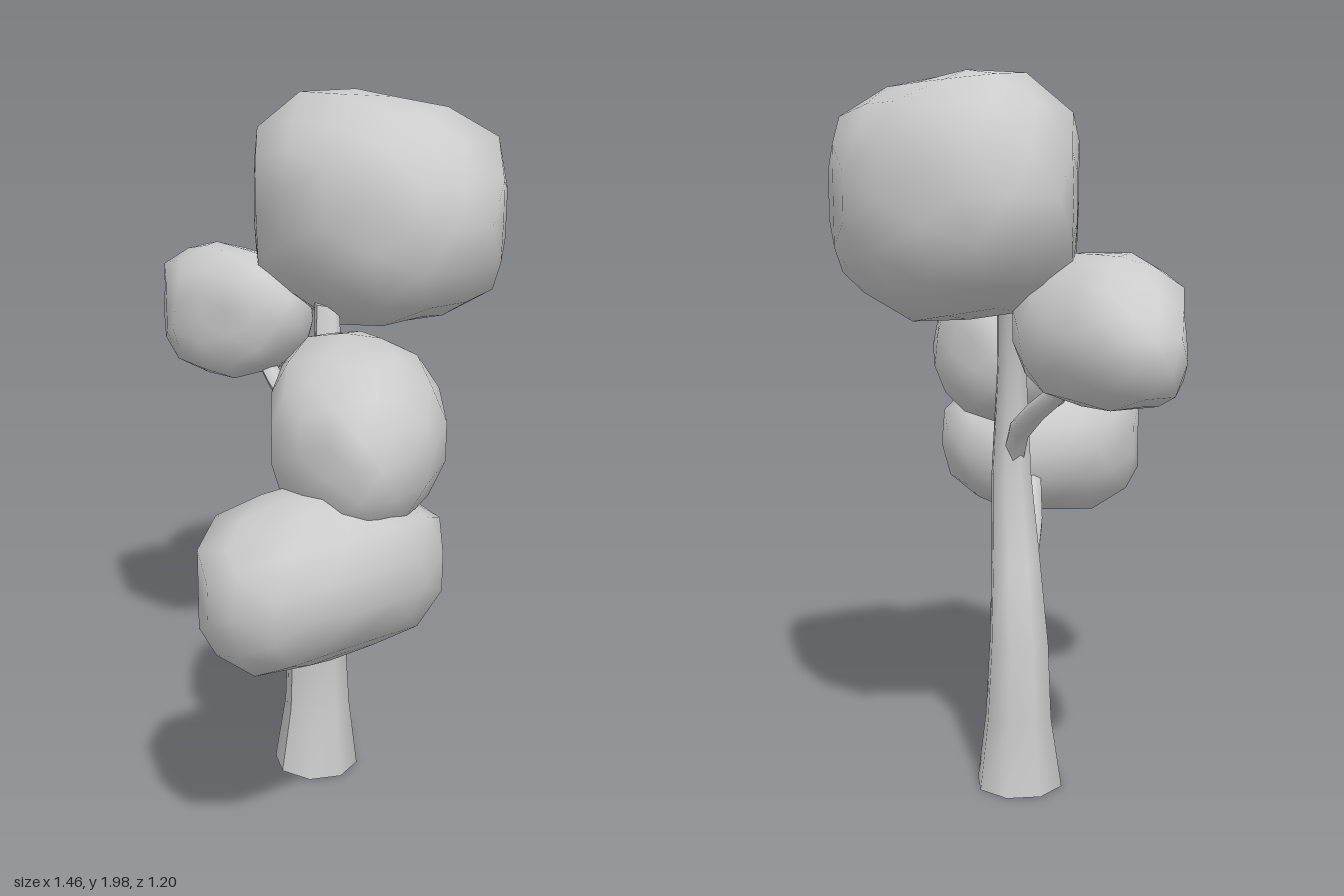
import * as THREE from 'three';
import { mergeVertices } from 'three/addons/utils/BufferGeometryUtils.js';

const material = new THREE.MeshStandardMaterial({ color: 0xcccccc, side: THREE.DoubleSide });
const UP = new THREE.Vector3(0, 1, 0);

// Tapered limb through points [x, y, z, radius]; level keeps the rings horizontal
function limb(name, path, sides, level = false) {
  const pts = path.map(p => new THREE.Vector3(p[0], p[1], p[2]));
  const last = pts.length - 1;
  const turns = pts.map((p, i) => {
    const q = new THREE.Quaternion();
    if (level) return q;
    const dir = pts[Math.min(i + 1, last)].clone().sub(pts[Math.max(i - 1, 0)]).normalize();
    return q.setFromUnitVectors(UP, dir);
  });
  const geo = new THREE.CylinderGeometry(1, 1, 1, sides, last);
  const pos = geo.attributes.position;
  const v = new THREE.Vector3();
  for (let k = 0; k < pos.count; k++) {
    v.fromBufferAttribute(pos, k);
    const i = Math.round((v.y + 0.5) * last);
    v.y = 0;
    v.multiplyScalar(path[i][3]).applyQuaternion(turns[i]).add(pts[i]);
    pos.setXYZ(k, v.x, v.y, v.z);
  }
  geo.computeVertexNormals();
  const mesh = new THREE.Mesh(geo, material);
  mesh.name = name;
  return mesh;
}

// How far (a, b) lies towards a convex outline around (ca, cb): 1 is on the outline
function gauge(outline, ca, cb, a, b) {
  let g = 0;
  outline.forEach(([x0, y0], i) => {
    const [x1, y1] = outline[(i + 1) % outline.length];
    const nx = y1 - y0, ny = x0 - x1;
    g = Math.max(g, (nx * a + ny * b) / (nx * (x0 - ca) + ny * (y0 - cb)));
  });
  return g;
}

// Leaf clump: a coarse ellipsoid, skewed in plan, pulled inside three outlines
function clump(name, [cx, cy, cz], [rx, ry, rz], skew, front, side, top) {
  let geo = new THREE.IcosahedronGeometry(1, 2);
  geo.deleteAttribute('normal');
  geo.deleteAttribute('uv');
  geo = mergeVertices(geo, 1e-4);
  const pos = geo.attributes.position;
  const grow = 1.07, rest = Math.sqrt(1 - skew * skew);
  for (let k = 0; k < pos.count; k++) {
    const u = pos.getX(k), w = pos.getZ(k);
    const x = u * rx * grow;
    const y = pos.getY(k) * ry * grow;
    const z = (skew * u + rest * w) * rz * grow;
    const s = 1 / Math.max(1,
      gauge(front, cx, cy, x, y), gauge(side, cz, cy, z, y), gauge(top, cx, cz, x, z));
    pos.setXYZ(k, cx + x * s, cy + y * s, cz + z * s);
  }
  geo.computeVertexNormals();
  const mesh = new THREE.Mesh(geo, material);
  mesh.name = name;
  return mesh;
}

export function createModel() {
  const tree = new THREE.Group();
  tree.name = 'tree';

  // Trunk and branches
  tree.add(limb('trunk', [
    [-0.02, 0, -0.085, 0.125], [-0.018, 0.2, -0.087, 0.097], [-0.025, 0.42, -0.088, 0.086],
    [0.025, 0.64, -0.07, 0.072], [0.088, 0.88, -0.05, 0.059], [0.055, 1.2, -0.065, 0.042],
    [-0.015, 1.42, -0.11, 0.034],
  ], 8, true));
  tree.add(limb('leftBranch', [
    [0.04, 0.6, -0.045, 0.034], [0.065, 0.66, -0.005, 0.033], [0.14, 0.72, 0.05, 0.03],
    [0.23, 0.77, 0.1, 0.028], [0.34, 0.86, 0.16, 0.026],
  ], 6));
  tree.add(limb('rightBranch', [
    [0.07, 0.93, -0.055, 0.034], [0.01, 1.02, -0.065, 0.032], [-0.11, 1.09, -0.08, 0.029],
    [-0.23, 1.15, -0.09, 0.027], [-0.31, 1.23, -0.085, 0.024],
  ], 6));

  // Leaf clumps: outlines are front (x, y), side (z, y) and top (x, z)
  tree.add(clump('crownFoliage', [-0.035, 1.665, -0.285], [0.45, 0.335, 0.325], 0,
    [[-0.48, 1.53], [-0.48, 1.7], [-0.44, 1.84], [-0.29, 1.96], [-0.06, 2], [0.21, 1.93],
      [0.4, 1.72], [0.41, 1.65], [0.33, 1.47], [0.15, 1.38], [-0.04, 1.33], [-0.25, 1.38]],
    [[-0.2, 2], [-0.37, 1.96], [-0.52, 1.88], [-0.61, 1.69], [-0.6, 1.55], [-0.46, 1.36],
      [-0.36, 1.33], [-0.15, 1.35], [0, 1.52], [0.04, 1.64], [0.01, 1.85]],
    [[-0.11, -0.61], [0.24, -0.53], [0.36, -0.4], [0.41, -0.28], [0.32, -0.1], [0.11, 0.03],
      [-0.08, 0.04], [-0.21, 0], [-0.48, -0.19], [-0.48, -0.34], [-0.37, -0.5]]));
  tree.add(clump('rightFoliage', [-0.435, 1.34, -0.06], [0.315, 0.2, 0.2], 0,
    [[-0.75, 1.29], [-0.69, 1.38], [-0.56, 1.5], [-0.46, 1.54], [-0.28, 1.54], [-0.12, 1.43],
      [-0.13, 1.3], [-0.22, 1.2], [-0.34, 1.14], [-0.5, 1.14], [-0.71, 1.2]],
    [[0.14, 1.3], [0.11, 1.45], [0, 1.54], [-0.15, 1.5], [-0.23, 1.4], [-0.26, 1.3],
      [-0.19, 1.16], [0, 1.14], [0.1, 1.2]],
    [[-0.75, -0.02], [-0.68, -0.2], [-0.48, -0.26], [-0.3, -0.26], [-0.13, -0.15],
      [-0.12, -0.05], [-0.17, 0.03], [-0.45, 0.14]]));
  tree.add(clump('upperLeftFoliage', [0.39, 1.21, 0.11], [0.32, 0.23, 0.265], 0.4,
    [[0.06, 1.16], [0.1, 1.26], [0.22, 1.41], [0.29, 1.44], [0.42, 1.44], [0.57, 1.4],
      [0.66, 1.29], [0.7, 1.2], [0.68, 1.08], [0.6, 1], [0.35, 0.98], [0.2, 1.02]],
    [[0.37, 1.28], [0.37, 1.12], [0.25, 1], [-0.1, 1], [-0.16, 1.08], [-0.15, 1.2],
      [-0.1, 1.37], [0, 1.42], [0.07, 1.44], [0.25, 1.4]],
    [[0.36, -0.16], [0.5, -0.12], [0.65, 0.02], [0.7, 0.25], [0.68, 0.3], [0.5, 0.35],
      [0.36, 0.36], [0.27, 0.27], [0.07, 0.04], [0.15, -0.1]]));
  tree.add(clump('lowerLeftFoliage', [0.485, 0.89, 0.28], [0.26, 0.245, 0.335], 0,
    [[0.22, 0.92], [0.26, 0.8], [0.33, 0.7], [0.41, 0.65], [0.54, 0.67], [0.67, 0.78],
      [0.74, 0.91], [0.7, 1.05], [0.53, 1.14], [0.41, 1.11], [0.32, 1.03]],
    [[0.61, 0.98], [0.61, 0.77], [0.53, 0.68], [0.37, 0.65], [0.05, 0.72], [-0.02, 0.8],
      [-0.06, 0.93], [-0.05, 1], [0.1, 1.08], [0.33, 1.14]],
    [[0.24, 0.33], [0.33, 0.53], [0.44, 0.61], [0.65, 0.6], [0.745, 0.33], [0.68, 0.05],
      [0.55, -0.06], [0.4, -0.06], [0.25, 0.08]]));
  return tree;
}
